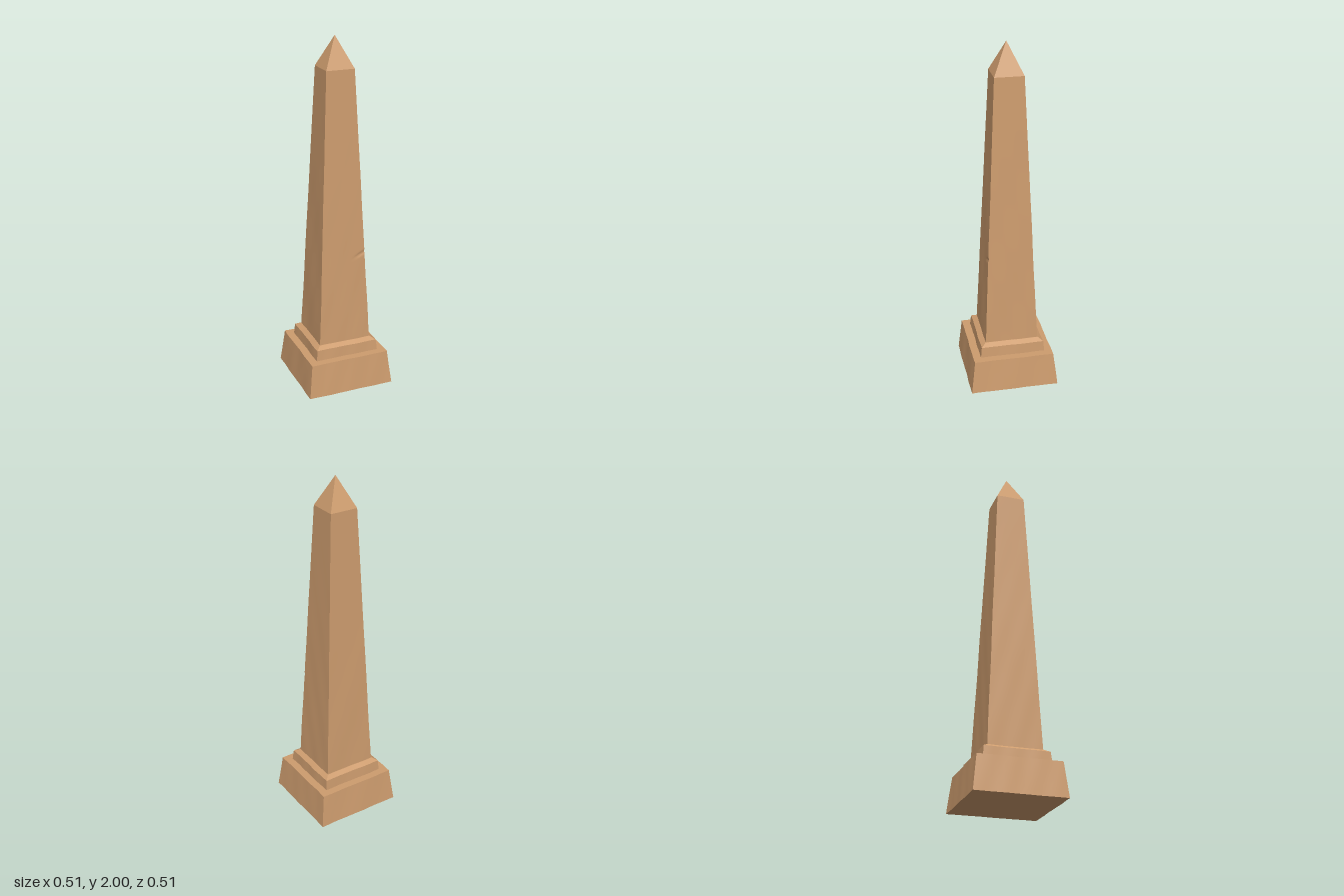
import * as THREE from 'three';

const sandstone = new THREE.MeshStandardMaterial({ color: 0xcd9c6e });
sandstone.name = 'sandstone';

// Gentle hand-hewn unevenness, continuous around the corners
const wave = (a, y, s) => Math.sin(a * 23 + y * 9 + s) * 0.6 + Math.sin(a * 47 - y * 14 + s * 2) * 0.4;

// Square block tapering from half-width r0 at y0 to r1 at y1
function block(name, y0, y1, r0, r1, rows, wear, carve) {
  const geo = new THREE.BoxGeometry(2, 1, 2, 16, rows, 16);
  const p = geo.attributes.position;
  for (let i = 0; i < p.count; i++) {
    const u = p.getX(i), w = p.getZ(i), t = p.getY(i) + 0.5;
    const r = r0 + (r1 - r0) * t;
    const y = y0 + (y1 - y0) * t;
    const k = wear(t);
    const x = u * (r + k * wave(w * r, y, u > 0 ? 0.7 : 2.9));
    let z = w * (r + k * wave(u * r, y, w > 0 ? 4.1 : 1.6));
    if (carve && w > 0.999) z -= carve(x, y);
    p.setXYZ(i, x, y, z);
  }
  geo.computeVertexNormals();
  const mesh = new THREE.Mesh(geo, sandstone);
  mesh.name = name;
  return mesh;
}

// Short slanting crack running into the front left edge of the shaft
function crack(x, y) {
  if (x < 0.06) return 0;
  const line = 0.765 + (x - 0.06) * 0.5;
  return 0.006 * Math.max(0, 1 - Math.abs(y - line) / 0.012) * Math.min(1, (x - 0.06) / 0.04);
}

export function createModel() {
  const group = new THREE.Group();
  group.name = 'obelisk';

  // Stepped base
  group.add(block('plinth', 0, 0.195, 0.253, 0.231, 4, () => 0.0018));
  group.add(block('step', 0.19, 0.256, 0.187, 0.181, 2, () => 0.002));
  group.add(block('stepBevel', 0.256, 0.272, 0.181, 0.154, 1, () => 0.002));

  // Tapering shaft, truer towards the top
  group.add(block('shaft', 0.265, 1.83, 0.152, 0.081, 160, t => 0.0014 * (1 - t), crack));

  // Pyramid cap
  const capGeo = new THREE.ConeGeometry(0.081 * Math.SQRT2, 0.17, 4, 1).toNonIndexed();
  capGeo.rotateY(Math.PI / 4);
  capGeo.computeVertexNormals();
  const cap = new THREE.Mesh(capGeo, sandstone);
  cap.name = 'pyramidCap';
  cap.position.y = 1.915;
  group.add(cap);

  return group;
}
